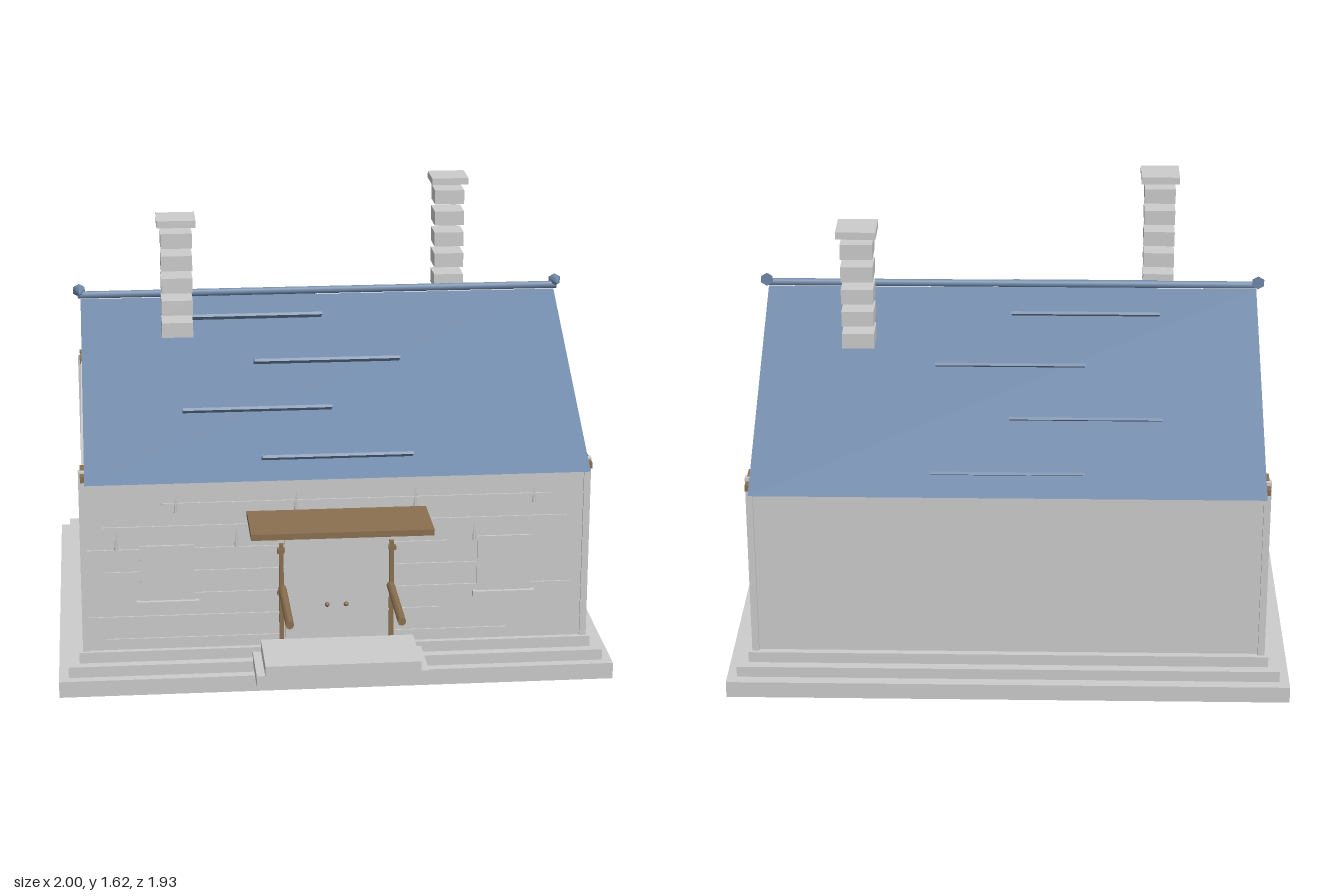
import * as THREE from 'three';

const grey = new THREE.MeshStandardMaterial({ color: 0xcccccc });
const blue = new THREE.MeshStandardMaterial({ color: 0x6f88a8 });
const wood = new THREE.MeshStandardMaterial({ color: 0x8a7050 });

export function createModel() {
  const house = new THREE.Group();
  house.name = 'house';

  const add = (name, geometry, material, x = 0, y = 0, z = 0) => {
    const mesh = new THREE.Mesh(geometry, material);
    mesh.name = name;
    mesh.position.set(x, y, z);
    house.add(mesh);
    return mesh;
  };
  // Box given by its limits on each axis
  const box = (name, [x0, x1], [y0, y1], [z0, z1], material = grey) =>
    add(name, new THREE.BoxGeometry(x1 - x0, y1 - y0, z1 - z0), material,
      (x0 + x1) / 2, (y0 + y1) / 2, (z0 + z1) / 2);

  // Stepped foundation
  box('foundationLower', [-1, 1], [0, 0.06], [-0.94, 0.7]);
  box('foundationMiddle', [-0.965, 0.965], [0.06, 0.1], [-0.9, 0.665]);
  box('foundationUpper', [-0.925, 0.925], [0.1, 0.14], [-0.865, 0.63]);

  // Walls with corner posts
  box('walls', [-0.9, 0.9], [0.14, 0.81], [-0.84, 0.61]);
  for (const s of [-1, 1]) {
    for (const z of [-0.84, 0.605]) {
      box('cornerPost', [s * 0.9 - 0.012, s * 0.9 + 0.012], [0.14, 0.82], [z - 0.013, z + 0.013]);
    }
    box('sideVent', [s * 0.905 - 0.01, s * 0.905 + 0.01], [0.305, 0.33], [-0.07, 0.155]);
  }

  // Stone courses and upright joints on the front wall
  const courses = [[-0.83, 0.62, 0.18], [-0.89, 0.38, 0.265], [-0.65, 0.85, 0.35],
    [-0.83, 0.7, 0.435], [-0.89, 0.4, 0.52], [-0.06, 0.83, 0.605], [-0.83, -0.06, 0.605], [-0.62, 0.77, 0.69]];
  for (const [x0, x1, y] of courses) {
    box('stoneCourse', [x0, x1], [y - 0.003, y + 0.003], [0.605, 0.616]);
  }
  for (let i = 0; i < 8; i++) {
    const x = -0.785 + i * 0.2135;
    add('stoneJoint', new THREE.ConeGeometry(0.007, 0.075, 4), grey, x, i % 2 ? 0.695 : 0.56, 0.613);
  }

  // Gabled roof
  const gable = new THREE.Shape([
    new THREE.Vector2(-0.725, 0.805), new THREE.Vector2(0.965, 0.805), new THREE.Vector2(0.115, 1.25)]);
  const roofGeometry = new THREE.ExtrudeGeometry(gable, { depth: 1.78, bevelEnabled: false });
  roofGeometry.translate(0, 0, -0.89).rotateY(Math.PI / 2);
  add('roof', roofGeometry, blue);

  // Raised slats, staggered on both slopes
  for (const s of [-1, 1]) {
    for (let i = 0; i < 4; i++) {
      const slat = add('roofSlat', new THREE.BoxGeometry(0.533, 0.01, 0.06), blue,
        i % 2 ? -0.268 : 0, 0.866 + i * 0.113, -0.122 + s * (0.775 - i * 0.213));
      slat.rotation.x = -s * 0.47;
    }
  }

  // Ridge bar with cone ends
  const ridge = new THREE.CylinderGeometry(0.014, 0.014, 1.8, 8).rotateZ(Math.PI / 2);
  add('ridgeBar', ridge, blue, 0, 1.266, -0.115);
  for (const s of [-1, 1]) {
    const cone = new THREE.ConeGeometry(0.025, 0.06, 6).rotateX(Math.PI / 2);
    add('ridgeEnd', cone, blue, s * 0.895, 1.28, -0.1);
  }

  // Timber beams under the eaves
  for (const [z, w] of [[0.66, 0.035], [0.57, 0.055], [-0.81, 0.055], [-0.9, 0.035]]) {
    box('eaveBeam', [-0.905, 0.905], [0.8, 0.822], [z - w / 2, z + w / 2], wood);
  }

  // Chimneys of spaced stone blocks with a cap
  for (const [x, z] of [[-0.54, 0.13], [0.533, -0.48]]) {
    for (let i = 0; i < 5; i++) {
      add('chimneyBlock', new THREE.BoxGeometry(0.113, 0.055, 0.113), grey, x, 1.206 + i * 0.083, z);
    }
    add('chimneyCap', new THREE.BoxGeometry(0.14, 0.026, 0.14), grey, x, 1.603, z);
  }

  // Door, frame, hinges and handles
  box('door', [-0.185, 0.185], [0.17, 0.545], [0.6, 0.622]);
  for (const s of [-1, 1]) {
    box('doorFrame', [s * 0.198 - 0.008, s * 0.198 + 0.008], [0.14, 0.53], [0.605, 0.625], wood);
    for (const y of [0.345, 0.505]) {
      box('doorHinge', [s * 0.2 - 0.013, s * 0.2 + 0.013], [y - 0.008, y + 0.008], [0.61, 0.632], wood);
    }
    add('doorHandle', new THREE.SphereGeometry(0.009, 8, 6), wood, s * 0.034, 0.295, 0.626);
    const arm = new THREE.CylinderGeometry(0.015, 0.015, 0.35, 8).rotateX(Math.PI / 2);
    add('porchArm', arm, wood, s * 0.195, 0.36, 0.795);
  }
  box('porchCanopy', [-0.32, 0.32], [0.634, 0.656], [0.615, 0.86], wood);

  // Entrance steps
  box('entranceStepLower', [-0.305, 0.305], [0.092, 0.132], [0.65, 0.875]);
  box('entranceStepUpper', [-0.275, 0.275], [0.132, 0.175], [0.645, 0.893]);

  // Windows and sills
  for (const s of [-1, 1]) {
    const x = s * 0.605;
    box('window', [x - 0.097, x + 0.097], [0.325, 0.535], [0.6, 0.618]);
    box('windowSill', [x - 0.112, x + 0.112], [0.308, 0.328], [0.6, 0.632]);
  }

  return house;
}
